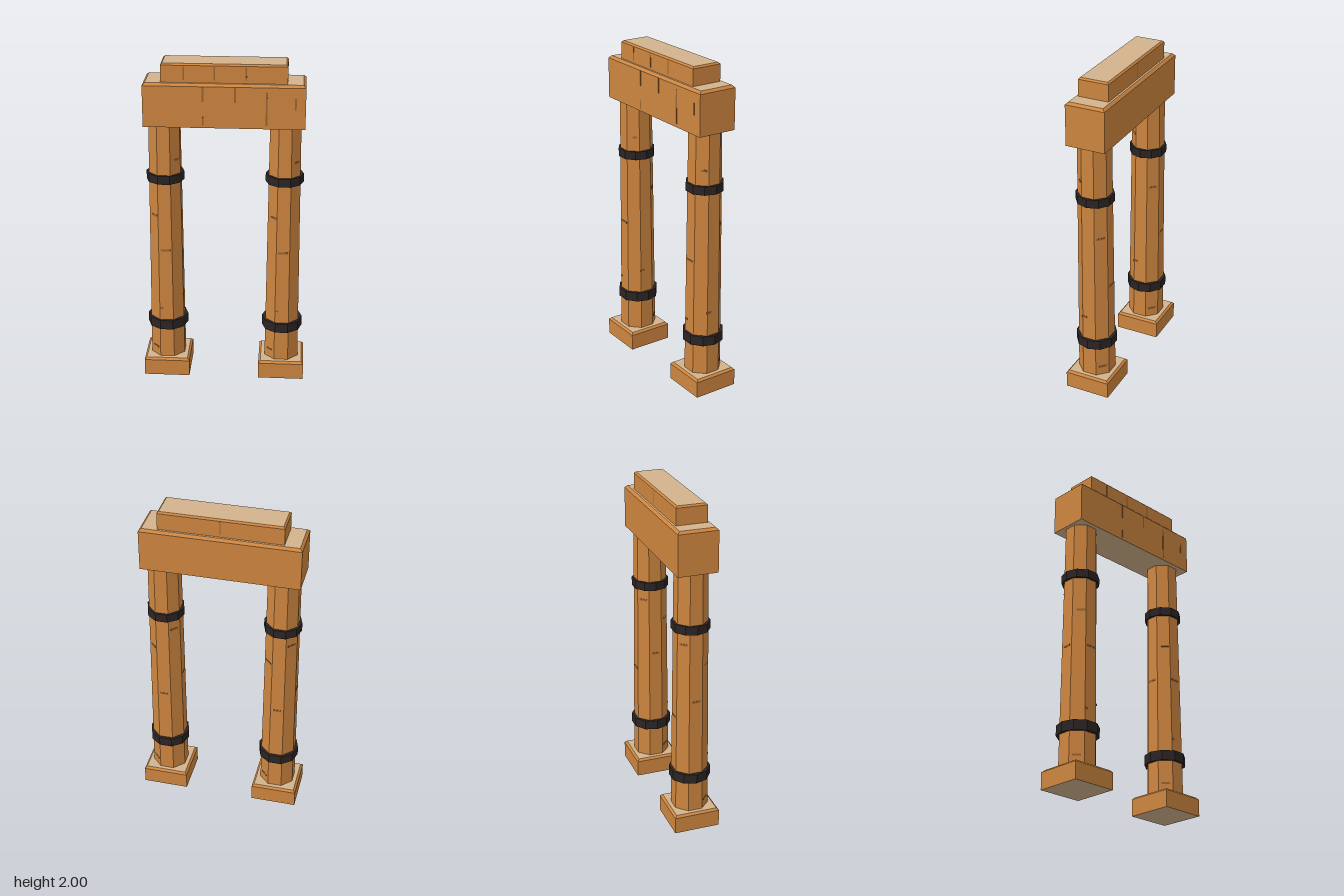
import * as THREE from 'three';

const material = (name, color, flat = true) => {
  const m = new THREE.MeshStandardMaterial({ color, flatShading: flat });
  m.name = name;
  return m;
};

export function createModel() {
  const wood = material('wood', 0xcd853f);
  const paleWood = material('pale wood', 0xd2b48c);
  const iron = material('dark iron', 0x2c2424);
  const crack = material('wood crack', 0x9a6430);
  const model = new THREE.Group();
  model.name = 'timberGateway';

  const add = (parent, name, geometry, mat, x, y, z) => {
    const mesh = new THREE.Mesh(geometry, mat);
    mesh.name = name;
    mesh.position.set(x, y, z);
    parent.add(mesh);
    return mesh;
  };

  // Timber block with a chamfered top edge and pale cut faces above and below
  const block = (parent, name, w, h, d, bevel, y) => {
    const geo = new THREE.BoxGeometry(w, h, d, 1, 2, 1);
    const p = geo.attributes.position;
    for (let i = 0; i < p.count; i++) {
      if (Math.abs(p.getY(i)) < 1e-6) p.setY(i, h / 2 - bevel);
      else if (p.getY(i) > 0) {
        p.setX(i, p.getX(i) - Math.sign(p.getX(i)) * bevel);
        p.setZ(i, p.getZ(i) - Math.sign(p.getZ(i)) * bevel);
      }
    }
    const flat = geo.toNonIndexed();
    flat.computeVertexNormals();
    return add(parent, name, flat, [wood, wood, paleWood, paleWood, wood, wood], 0, y + h / 2, 0);
  };

  // Thin crack plate lying on a face that looks along the given angle
  const crackPlate = (parent, angle, offset, y, distance, w, h) => {
    const pivot = new THREE.Group();
    pivot.name = 'woodCrack';
    pivot.rotation.y = angle;
    add(pivot, 'crackPlate', new THREE.BoxGeometry(w, h, 0.004), crack, offset, y, distance);
    parent.add(pivot);
  };

  // Posts: square foot, tapered octagonal shaft and two iron bands
  const postBottom = 0.1, postTop = 1.64, lowRadius = 0.112, topRadius = 0.098;
  const postCracks = [ // height, facet, offset, width
    [0.84, 0, 0, 0.06], [1.06, 7, 0.01, 0.05], [0.17, 7, 0, 0.05], [0.45, 0, -0.03, 0.02],
    [1.41, 1, 0.01, 0.03], [1.06, 3, 0, 0.05], [0.52, 2, -0.03, 0.03], [0.17, 3, 0, 0.05],
    [0.72, 4, 0, 0.05], [1.2, 5, 0, 0.05], [0.84, 6, 0, 0.05],
  ];
  for (const side of [1, -1]) {
    const post = new THREE.Group();
    post.name = side > 0 ? 'leftPost' : 'rightPost';
    post.position.x = side * 0.355;
    model.add(post);

    block(post, 'foot', 0.28, 0.115, 0.28, 0.013, 0);

    const shaft = new THREE.CylinderGeometry(topRadius, lowRadius, postTop - postBottom, 8);
    shaft.rotateY(Math.PI / 8);
    add(post, 'shaft', shaft, wood, 0, (postBottom + postTop) / 2, 0);

    for (const [y, h, r] of [[0.34, 0.06, 0.124], [1.295, 0.052, 0.113]]) {
      const band = new THREE.CylinderGeometry(r, r, h, 10);
      band.rotateY(Math.PI / 2);
      add(post, 'ironBand', band, iron, 0, y, 0);
    }

    for (const [y, facet, offset, w] of postCracks) {
      const t = (y - postBottom) / (postTop - postBottom);
      const apothem = THREE.MathUtils.lerp(lowRadius, topRadius, t) * Math.cos(Math.PI / 8);
      crackPlate(post, facet * Math.PI / 4, offset, y, apothem, w, 0.012);
    }
  }

  // Lintel beam and the smaller cap beam on it
  block(model, 'lintel', 0.935, 0.26, 0.24, 0.015, 1.63);
  block(model, 'capBeam', 0.726, 0.11, 0.186, 0.01, 1.89);

  // Cracks in the beams
  for (const [x, y, h] of [[-0.12, 1.83, 0.09], [-0.12, 1.67, 0.05], [0.065, 1.83, 0.09], [0.245, 1.75, 0.2], [0.41, 1.78, 0.07]])
    crackPlate(model, 0, x, y, 0.12, 0.01, h);
  for (const x of [-0.23, -0.055, 0.125]) crackPlate(model, 0, x, 1.945, 0.093, 0.008, 0.08);
  crackPlate(model, Math.PI, 0, 1.945, 0.093, 0.006, 0.08);
  return model;
}
